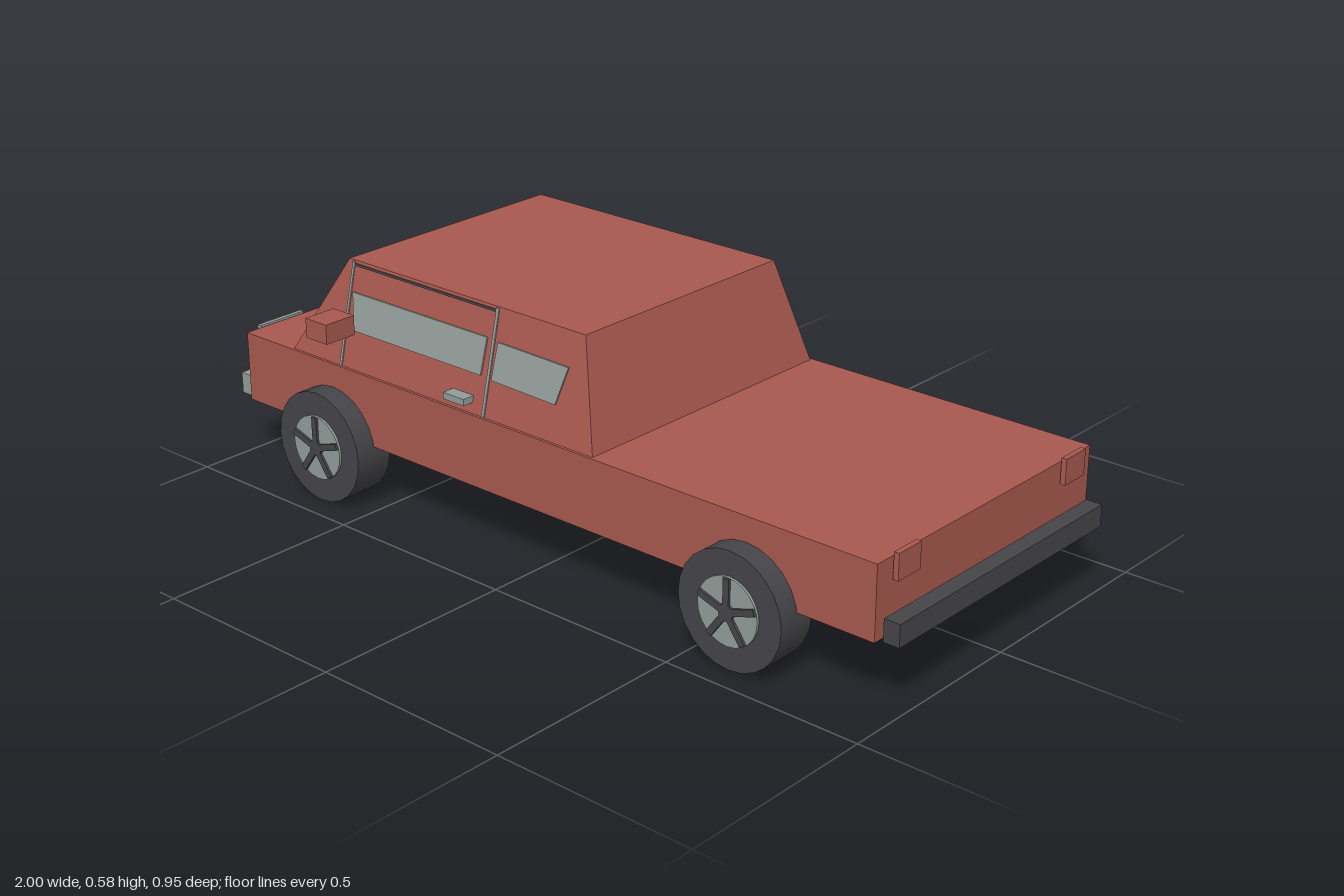
import * as THREE from 'three';

export function createModel() {
  const mat = (name, color) => {
    const m = new THREE.MeshStandardMaterial({ color });
    m.name = name;
    return m;
  };
  const paint = mat('red paint', 0xa8594f);
  const grey = mat('pale grey', 0x929c98);
  const dark = mat('dark rubber', 0x454549);

  const car = new THREE.Group();
  car.name = 'car';

  const add = (name, geometry, material, parent = car) => {
    const mesh = new THREE.Mesh(geometry, material);
    mesh.name = name;
    parent.add(mesh);
    return mesh;
  };
  // Box given by its lower and upper limits
  const block = (name, material, [x0, x1], [y0, y1], [z0, z1], parent) => {
    const g = new THREE.BoxGeometry(x1 - x0, y1 - y0, z1 - z0);
    g.translate((x0 + x1) / 2, (y0 + y1) / 2, (z0 + z1) / 2);
    return add(name, g, material, parent);
  };

  block('body', paint, [-0.95, 0.95], [0.16, 0.335], [-0.387, 0.387]);

  // Cabin: a box whose top is drawn inwards
  const Y0 = 0.335, Y1 = 0.583;
  const cabin = new THREE.BoxGeometry(1, 1, 1).toNonIndexed();
  const p = cabin.attributes.position;
  for (let i = 0; i < p.count; i++) {
    const top = p.getY(i) > 0, rear = p.getX(i) > 0;
    const x = top ? (rear ? 0.115 : -0.635) : (rear ? 0.185 : -0.785);
    p.setXYZ(i, x, top ? Y1 : Y0, Math.sign(p.getZ(i)) * (top ? 0.322 : 0.38));
  }
  cabin.computeVertexNormals();
  add('cabin', cabin, paint);

  // Thin plate lying on the sloping cabin side; points are [x, y]
  const sideZ = (y) => 0.38 - ((y - Y0) / (Y1 - Y0)) * 0.058;
  const sidePlate = (name, material, points, side, depth = 0.004) => {
    const shape = new THREE.Shape(points.map(([x, y]) => new THREE.Vector2(x, y)));
    const g = new THREE.ExtrudeGeometry(shape, { depth, bevelEnabled: false });
    const q = g.attributes.position;
    for (let i = 0; i < q.count; i++) {
      const out = q.getZ(i);
      q.setZ(i, sideZ(q.getY(i)) + (side > 0 ? out : out - depth));
    }
    if (side < 0) {
      // Turn the plate to the other side, keeping x
      for (let i = 0; i < q.count; i++) {
        const out = q.getZ(i) - sideZ(q.getY(i)) + depth;
        q.setZ(i, -sideZ(q.getY(i)) - depth + out);
      }
    }
    g.computeVertexNormals();
    return add(name, g, material);
  };
  const rect = (x0, x1, y0, y1) => [[x0, y0], [x1, y0], [x1, y1], [x0, y1]];

  for (const s of [1, -1]) {
    const zs = (a, b) => (s > 0 ? [a, b] : [-b, -a]);

    // Side glass and door seams
    sidePlate('frontSideWindow', grey,
      [[-0.59, 0.425], [-0.17, 0.425], [-0.166, 0.511], [-0.607, 0.511]], s);
    sidePlate('rearSideWindow', grey,
      [[-0.136, 0.422], [0.06, 0.418], [0.083, 0.505], [-0.132, 0.508]], s);
    sidePlate('doorPillarSeam', grey, rect(-0.151, -0.143, 0.336, 0.58), s, 0.003);
    sidePlate('doorFrontSeam', grey, rect(-0.621, -0.614, 0.336, 0.58), s, 0.003);
    sidePlate('doorTopSeam', dark, rect(-0.614, -0.151, 0.571, 0.576), s, 0.003);

    block('doorHandle', grey, [-0.25, -0.185], [0.359, 0.375], zs(0.367, 0.403));
    block('sideMirror', paint, [-0.627, -0.557], [0.43, 0.478], zs(0.387, 0.473));
    block('headlight', grey, [-0.973, -0.961], [0.255, 0.335], zs(0.197, 0.335));
    block('tailLight', paint, [0.955, 0.968], [0.285, 0.347], zs(0.265, 0.34));

    // Wheels: tyre, rim disc and five dark spokes
    for (const x of [-0.644, 0.619]) {
      const wheel = new THREE.Group();
      wheel.name = 'wheel';
      wheel.position.set(x, 0.138, s * 0.39);
      if (s < 0) wheel.rotation.y = Math.PI;
      car.add(wheel);
      const disc = (name, r, z0, z1, material, sides) => {
        const g = new THREE.CylinderGeometry(r, r, z1 - z0, sides);
        g.rotateX(Math.PI / 2).translate(0, 0, (z0 + z1) / 2);
        add(name, g, material, wheel);
      };
      disc('tyre', 0.138, -0.05, 0.05, dark, 24);
      disc('rim', 0.08, 0.05, 0.056, grey, 24);
      disc('hub', 0.02, 0.056, 0.062, dark, 10);
      for (let i = 0; i < 5; i++) {
        const spoke = block('spoke', dark, [-0.008, 0.008], [0, 0.078], [0.055, 0.062], wheel);
        spoke.rotation.z = (i * 2 * Math.PI) / 5;
      }
    }
  }

  // Narrow strip on the sloping windscreen
  const slope = Math.atan2(0.15, Y1 - Y0);
  const strip = add('windscreenStrip', new THREE.BoxGeometry(0.008, 0.028, 0.63), grey);
  strip.position.set(-0.743, 0.406, 0);
  strip.rotation.z = -slope;

  block('frontBumper', grey, [-1, -0.965], [0.16, 0.213], [-0.372, 0.372]);
  block('rearBumper', dark, [0.96, 1], [0.16, 0.213], [-0.372, 0.372]);

  return car;
}
